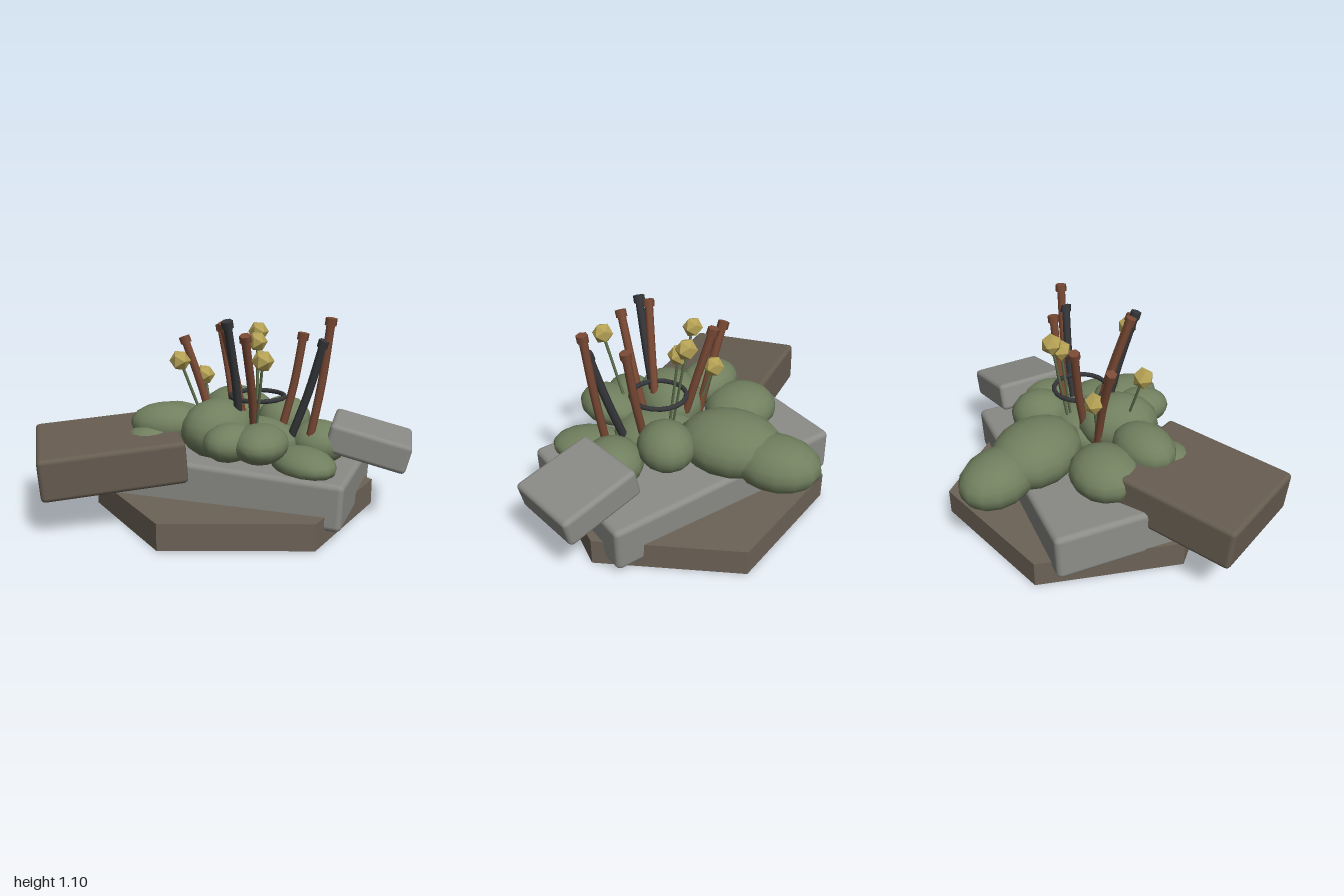
import * as THREE from 'three';
import { RoundedBoxGeometry } from 'three/addons/geometries/RoundedBoxGeometry.js';

const V = (x, y, z) => new THREE.Vector3(x, y, z);

function material(name, color, flatShading = false) {
  const m = new THREE.MeshStandardMaterial({ color, flatShading });
  m.name = name;
  return m;
}

export function createModel() {
  const group = new THREE.Group();
  const earth = material('earth brown', 0x6d6357, true);
  const brownStone = material('brown stone', 0x675d51);
  const concrete = material('concrete grey', 0x8b8b87);
  const moss = material('moss green', 0x71805f);
  const rust = material('rust', 0x7a4a35);
  const iron = material('dark iron', 0x35373a);
  const yellow = material('flower yellow', 0xb5a255, true);
  const stemGreen = material('stem green', 0x5f6f4d);

  function add(name, geometry, mat, position, parent = group) {
    const mesh = new THREE.Mesh(geometry, mat);
    mesh.name = name;
    if (position) mesh.position.copy(position);
    parent.add(mesh);
    return mesh;
  }

  // Hexagonal base
  add('base', new THREE.CylinderGeometry(0.787, 0.787, 0.143, 6), earth, V(0.003, 0.0715, -0.113));

  // Tilted rubble blocks, oriented by their x and z edge directions
  function block(name, size, mat, centre, xDir, zDir, radius) {
    const mesh = add(name, new RoundedBoxGeometry(...size, 2, radius), mat, centre);
    const x = xDir.normalize();
    const y = zDir.clone().cross(x).normalize();
    const z = x.clone().cross(y);
    mesh.quaternion.setFromRotationMatrix(new THREE.Matrix4().makeBasis(x, y, z));
  }
  block('mainSlab', [1.4, 0.25, 0.85], concrete, V(0, 0.205, -0.12),
    V(1.37, -0.06, -0.27), V(0.15, 0.025, 0.83), 0.03);
  block('brownBlock', [0.76, 0.23, 0.65], brownStone, V(-0.51, 0.355, 0.38),
    V(0.56, 0.055, -0.52), V(0.43, -0.035, 0.5), 0.025);
  block('greyBlock', [0.445, 0.16, 0.42], concrete, V(0.695, 0.405, -0.405),
    V(0.45, -0.115, -0.14), V(0.145, 0, 0.4), 0.025);

  // Moss mounds: centre, radii, yaw
  const mounds = [
    [[-0.29, 0.42, -0.63], [0.235, 0.14, 0.18], -0.8],
    [[-0.14, 0.45, -0.41], [0.285, 0.165, 0.225], -0.8],
    [[0.2, 0.48, -0.34], [0.15, 0.13, 0.165], 0],
    [[0, 0.49, 0.07], [0.185, 0.16, 0.225], -0.1],
    [[-0.37, 0.43, -0.08], [0.21, 0.13, 0.19], 0.2],
    [[-0.28, 0.5, 0.15], [0.2, 0.115, 0.15], 0.45],
    [[-0.31, 0.41, 0.26], [0.15, 0.1, 0.15], 0.3],
    [[0.17, 0.475, 0.24], [0.13, 0.1, 0.16], 0],
    [[0.32, 0.475, 0.18], [0.145, 0.1, 0.195], 0.3],
    [[0.49, 0.35, 0.02], [0.21, 0.085, 0.15], -0.5],
    [[0.46, 0.4, -0.25], [0.16, 0.12, 0.17], 0],
    [[0.15, 0.4, -0.1], [0.24, 0.13, 0.22], 0],
  ];
  const mossGeometry = new THREE.SphereGeometry(1, 14, 10);
  for (const [centre, radii, yaw] of mounds) {
    const mound = add('mossMound', mossGeometry, moss, V(...centre));
    mound.scale.set(...radii);
    mound.rotation.y = yaw;
  }

  // Slightly bent rods with hexagonal heads: foot, tip, material
  const rods = [
    [[-0.1, 0.4, -0.07], [-0.27, 0.94, -0.03], rust],
    [[0.01, 0.42, -0.11], [-0.13, 1.0, -0.19], rust],
    [[0.12, 0.38, -0.04], [0.085, 1.06, 0.15], rust],
    [[0.17, 0.36, -0.04], [0.23, 1.01, 0.185], rust],
    [[0.26, 0.45, -0.18], [0.36, 0.98, -0.225], rust],
    [[0.45, 0.42, -0.13], [0.55, 1.08, -0.15], rust],
    [[0.1, 0.42, 0], [0.125, 1.075, 0.185], iron],
    [[0.34, 0.42, -0.12], [0.52, 0.965, -0.13], iron],
  ];
  for (const [foot, tip, mat] of rods) {
    const rod = new THREE.Group();
    rod.name = 'bentRod';
    group.add(rod);
    const a = V(...foot), b = V(...tip);
    const bend = a.clone().lerp(b, 0.5).add(V(0.008, 0, -0.008));
    const curve = new THREE.CatmullRomCurve3([a, bend, b]);
    add('rodShaft', new THREE.TubeGeometry(curve, 8, 0.023, 7), mat, null, rod);
    const head = add('rodHead', new THREE.CylinderGeometry(0.031, 0.031, 0.04, 6), mat, b, rod);
    head.quaternion.setFromUnitVectors(V(0, 1, 0), curve.getTangent(1));
  }

  // Iron ring lying above the moss
  const ring = add('ironRing', new THREE.TorusGeometry(0.148, 0.013, 8, 20), iron, V(0.145, 0.65, -0.115));
  ring.rotation.x = Math.PI / 2;

  // Flowers: stem foot, bloom centre
  const flowers = [
    [[-0.12, 0.5, -0.07], [-0.185, 0.74, -0.1]],
    [[-0.08, 0.55, 0.1], [-0.18, 0.86, 0.16]],
    [[0.1, 0.5, -0.2], [0.06, 0.98, -0.28]],
    [[0.11, 0.5, -0.18], [0.08, 0.93, -0.23]],
    [[0.25, 0.5, 0.1], [0.335, 0.91, 0.195]],
  ];
  for (const [foot, top] of flowers) {
    const flower = new THREE.Group();
    flower.name = 'flower';
    group.add(flower);
    const curve = new THREE.LineCurve3(V(...foot), V(...top));
    add('stem', new THREE.TubeGeometry(curve, 1, 0.008, 6), stemGreen, null, flower);
    add('bloom', new THREE.IcosahedronGeometry(0.058, 0), yellow, V(...top), flower);
  }
  return group;
}
